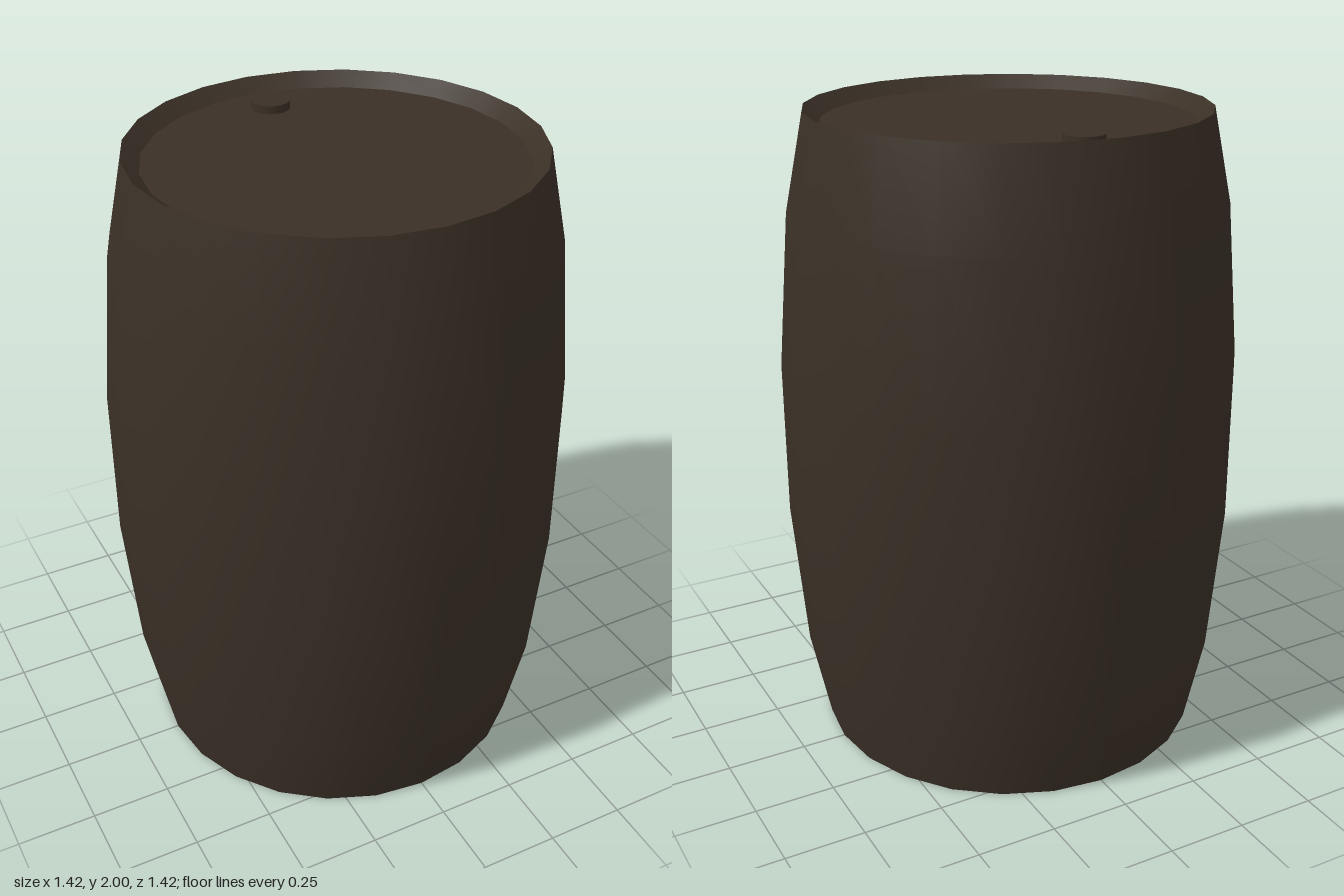
import * as THREE from 'three';

const SIDES = 24;

export function createModel() {
  const group = new THREE.Group();
  const wood = new THREE.MeshStandardMaterial({ color: 0x3a3026 });
  wood.name = 'dark brown';

  const add = (name, geometry) => {
    const mesh = new THREE.Mesh(geometry, wood);
    mesh.name = name;
    group.add(mesh);
    return mesh;
  };
  const lathe = (points) =>
    new THREE.LatheGeometry(points.map(([r, y]) => new THREE.Vector2(r, y)), SIDES);

  // Bulging body, smooth between its rings
  add('body', lathe([
    [0.61, 0], [0.67, 0.29], [0.71, 0.76], [0.71, 1.24], [0.67, 1.71], [0.61, 2],
  ]));

  // Sloped inner rims and recessed heads
  add('topRim', lathe([[0.61, 2], [0.56, 1.96]]));
  add('bottomRim', lathe([[0.56, 0.04], [0.61, 0]]));
  add('topHead', lathe([[0.56, 1.96], [0, 1.96]]));
  add('bottomHead', lathe([[0, 0.04], [0.56, 0.04]]));

  // Bung near the back of the top head
  add('bung', new THREE.CylinderGeometry(0.06, 0.06, 0.025, SIDES))
    .position.set(0, 1.9725, -0.435);

  return group;
}
